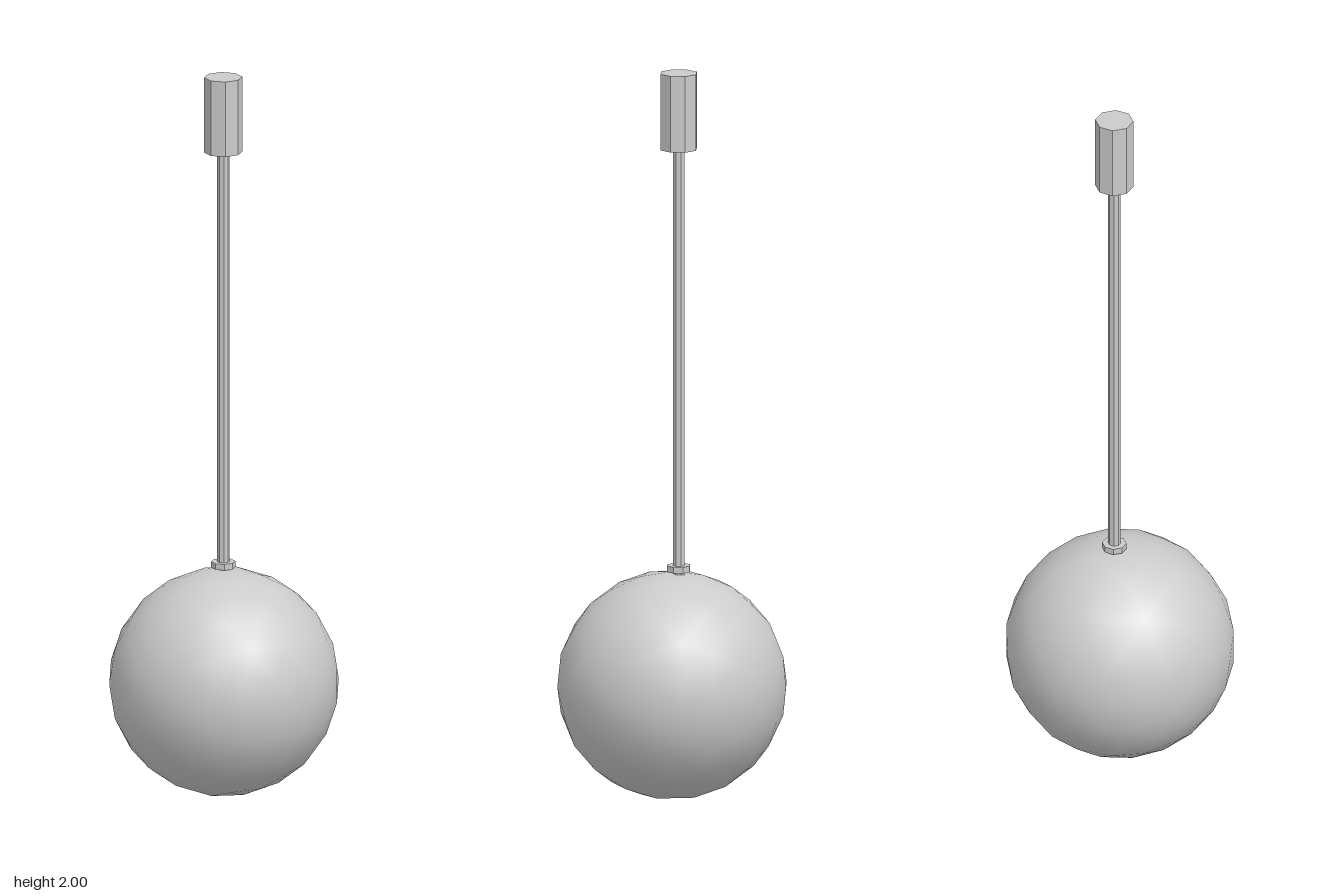
import * as THREE from 'three';

const flat = new THREE.MeshStandardMaterial({ color: 0xcccccc, flatShading: true });
const smooth = new THREE.MeshStandardMaterial({ color: 0xcccccc });
const AXIS_Z = -0.02; // the stem sits slightly behind the ball centre

// Icosphere with poles on the z axis, split twice by halving edges
function ballGeometry(radius) {
  const verts = [0, 0, 1, 0, 0, -1];
  const s = 1 / Math.sqrt(5);
  for (let k = 0; k < 5; k++) {
    const a = (k * 2 * Math.PI) / 5, b = a + Math.PI / 5;
    verts.push(2 * s * Math.cos(a), 2 * s * Math.sin(a), s);
    verts.push(2 * s * Math.cos(b), 2 * s * Math.sin(b), -s);
  }
  const faces = [];
  for (let k = 0; k < 5; k++) {
    const n = (k + 1) % 5;
    const a = 2 + 2 * k, b = a + 1, a2 = 2 + 2 * n, b2 = a2 + 1;
    faces.push(0, a, a2, a, b, a2, b, b2, a2, 1, b2, b);
  }
  const half = new THREE.PolyhedronGeometry(verts, faces, 1, 1);
  const pos = Array.from(half.attributes.position.array);
  return new THREE.PolyhedronGeometry(pos, pos.slice(0, pos.length / 3).map((_, i) => i), radius, 1);
}

// Upright eight-sided prism between two heights
function prism(name, radius, y0, y1) {
  const mesh = new THREE.Mesh(new THREE.CylinderGeometry(radius, radius, y1 - y0, 8), flat);
  mesh.position.set(0, (y0 + y1) / 2, AXIS_Z);
  mesh.name = name;
  return mesh;
}

export function createModel() {
  const group = new THREE.Group();
  group.name = 'ballOnStem';

  const ball = new THREE.Mesh(ballGeometry(0.312), smooth);
  ball.name = 'ball';
  ball.position.y = 0.312;
  group.add(ball);

  group.add(prism('collar', 0.033, 0.626, 0.643));
  group.add(prism('stem', 0.017, 0.6, 1.8));
  group.add(prism('topCap', 0.052, 1.79, 2));
  return group;
}
